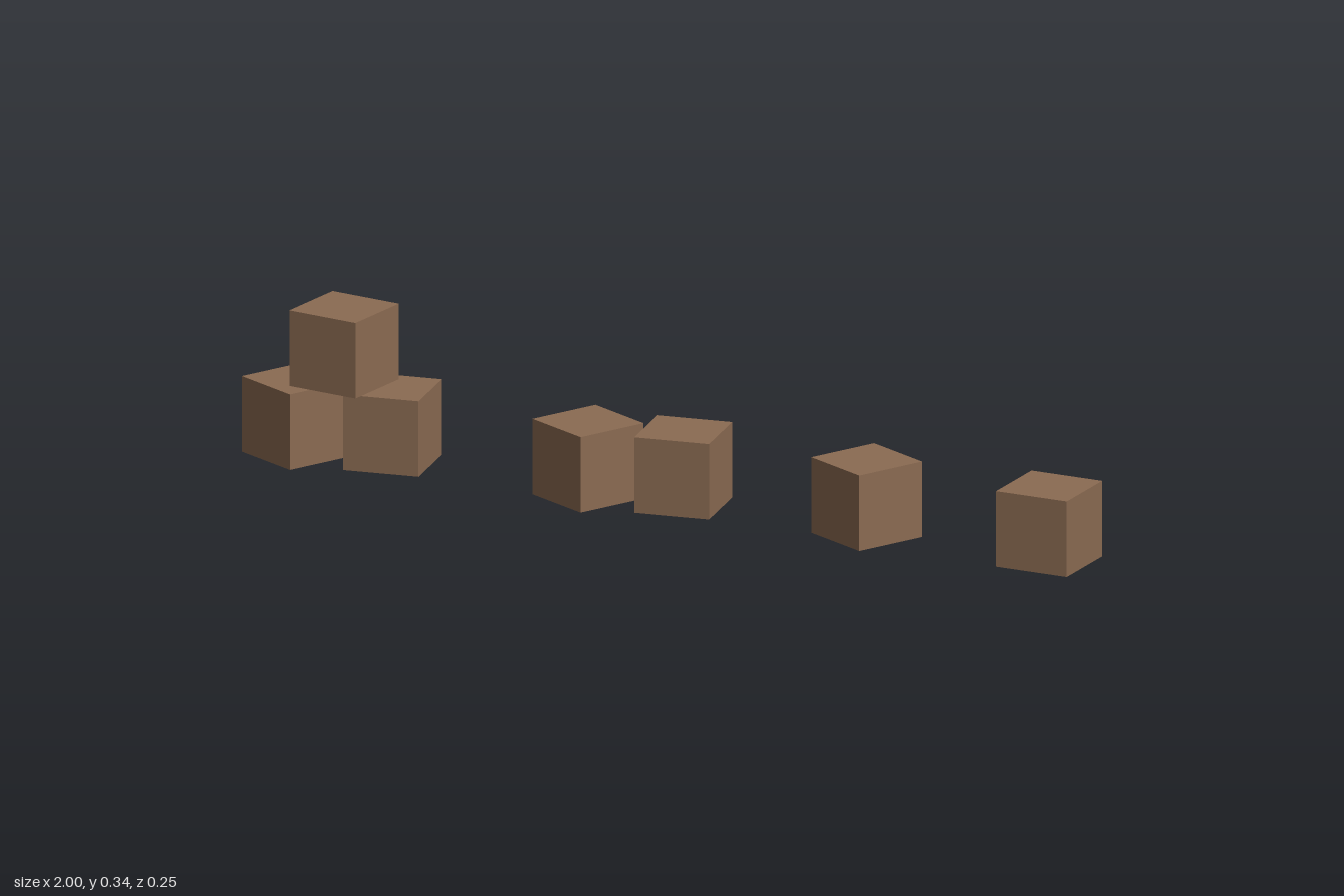
import * as THREE from 'three';

const SIZE = 0.17;

export function createModel() {
  const group = new THREE.Group();
  group.name = 'crates';
  const wood = new THREE.MeshStandardMaterial({ color: 0x8b6b52 });
  wood.name = 'brownWood';
  const box = new THREE.BoxGeometry(SIZE, SIZE, SIZE);

  // name, x, z, turn in degrees, stacking level
  const crates = [
    ['stackLeftCrate', -0.887, 0.01, -26, 0],
    ['stackRightCrate', -0.676, -0.025, 9.5, 0],
    ['stackTopCrate', -0.783, -0.007, -6.6, 1],
    ['pairLeftCrate', -0.187, 0.01, -26, 0],
    ['pairRightCrate', 0.025, -0.025, 9.5, 0],
    ['turnedCrate', 0.476, -0.007, -26, 0],
    ['endCrate', 0.915, -0.008, 0, 0],
  ];
  for (const [name, x, z, turn, level] of crates) {
    const crate = new THREE.Mesh(box, wood);
    crate.name = name;
    crate.position.set(x, SIZE * (level + 0.5), z);
    crate.rotation.y = THREE.MathUtils.degToRad(turn);
    group.add(crate);
  }
  return group;
}
